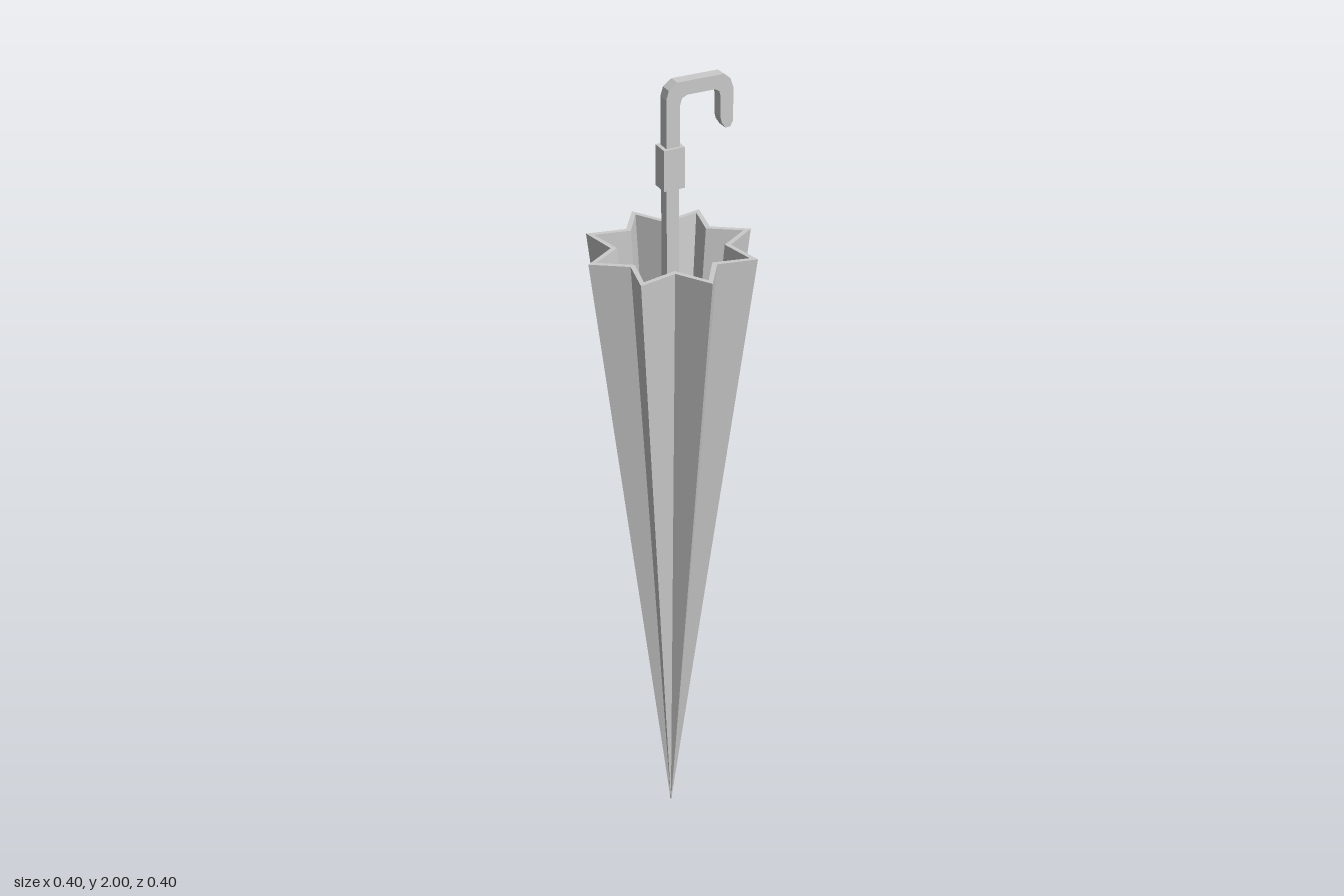
import * as THREE from 'three';

const material = new THREE.MeshStandardMaterial({ color: 0xcccccc, flatShading: true });

function addPart(group, name, geometry, x = 0, y = 0, z = 0) {
  const mesh = new THREE.Mesh(geometry, material);
  mesh.name = name;
  mesh.position.set(x, y, z);
  group.add(mesh);
  return mesh;
}

// Star-shaped rings joined in order: outside up, over the rim, inside down
function pleatedCanopy(rings, ribs = 8) {
  const n = ribs * 2;
  const point = ({ tip, valley, y }, i) => {
    const a = (i * Math.PI) / ribs;
    const r = i % 2 ? valley : tip;
    return [r * Math.cos(a), y, r * Math.sin(a)];
  };
  const positions = [];
  for (let k = 0; k < rings.length - 1; k++) {
    for (let i = 0; i < n; i++) {
      const a = point(rings[k], i), b = point(rings[k], i + 1);
      const c = point(rings[k + 1], i), d = point(rings[k + 1], i + 1);
      positions.push(...a, ...c, ...b, ...b, ...c, ...d);
    }
  }
  const geometry = new THREE.BufferGeometry();
  geometry.setAttribute('position', new THREE.Float32BufferAttribute(positions, 3));
  geometry.computeVertexNormals();
  return geometry;
}

// Crook outline, extruded to a flat square-edged bar
function crookGeometry(depth) {
  const outline = [
    [-0.018, 1.85], [-0.018, 1.965], [-0.012, 1.985], [0.008, 2.0],
    [0.118, 2.0], [0.134, 1.988], [0.142, 1.965], [0.142, 1.89],
    [0.136, 1.878], [0.124, 1.877], [0.115, 1.89], [0.111, 1.905],
    [0.111, 1.95], [0.108, 1.963], [0.098, 1.969],
    [0.032, 1.969], [0.019, 1.963], [0.014, 1.945], [0.014, 1.85],
  ];
  const shape = new THREE.Shape(outline.map(([x, y]) => new THREE.Vector2(x, y)));
  return new THREE.ExtrudeGeometry(shape, { depth, bevelEnabled: false });
}

export function createModel() {
  const umbrella = new THREE.Group();
  umbrella.name = 'closedUmbrella';

  // Folded canopy with a thin rim and hollow inside
  addPart(umbrella, 'canopy', pleatedCanopy([
    { tip: 0.003, valley: 0.002, y: 0.015 },
    { tip: 0.2, valley: 0.133, y: 1.615 },
    { tip: 0.181, valley: 0.119, y: 1.615 },
    { tip: 0.001, valley: 0.001, y: 0.16 },
  ]));

  // Small point at the bottom
  addPart(umbrella, 'ferrule', new THREE.CylinderGeometry(0.004, 0.002, 0.03, 6), 0, 0.015, 0);

  // Square shaft, from deep in the canopy up to the collar
  addPart(umbrella, 'shaft', new THREE.BoxGeometry(0.03, 1.4, 0.027), -0.002, 1.1, 0);

  // Collar between shaft and handle
  addPart(umbrella, 'collar', new THREE.BoxGeometry(0.05, 0.095, 0.042), -0.002, 1.807, 0);

  // Hooked handle
  addPart(umbrella, 'handle', crookGeometry(0.028), 0, 0, -0.014);

  return umbrella;
}
